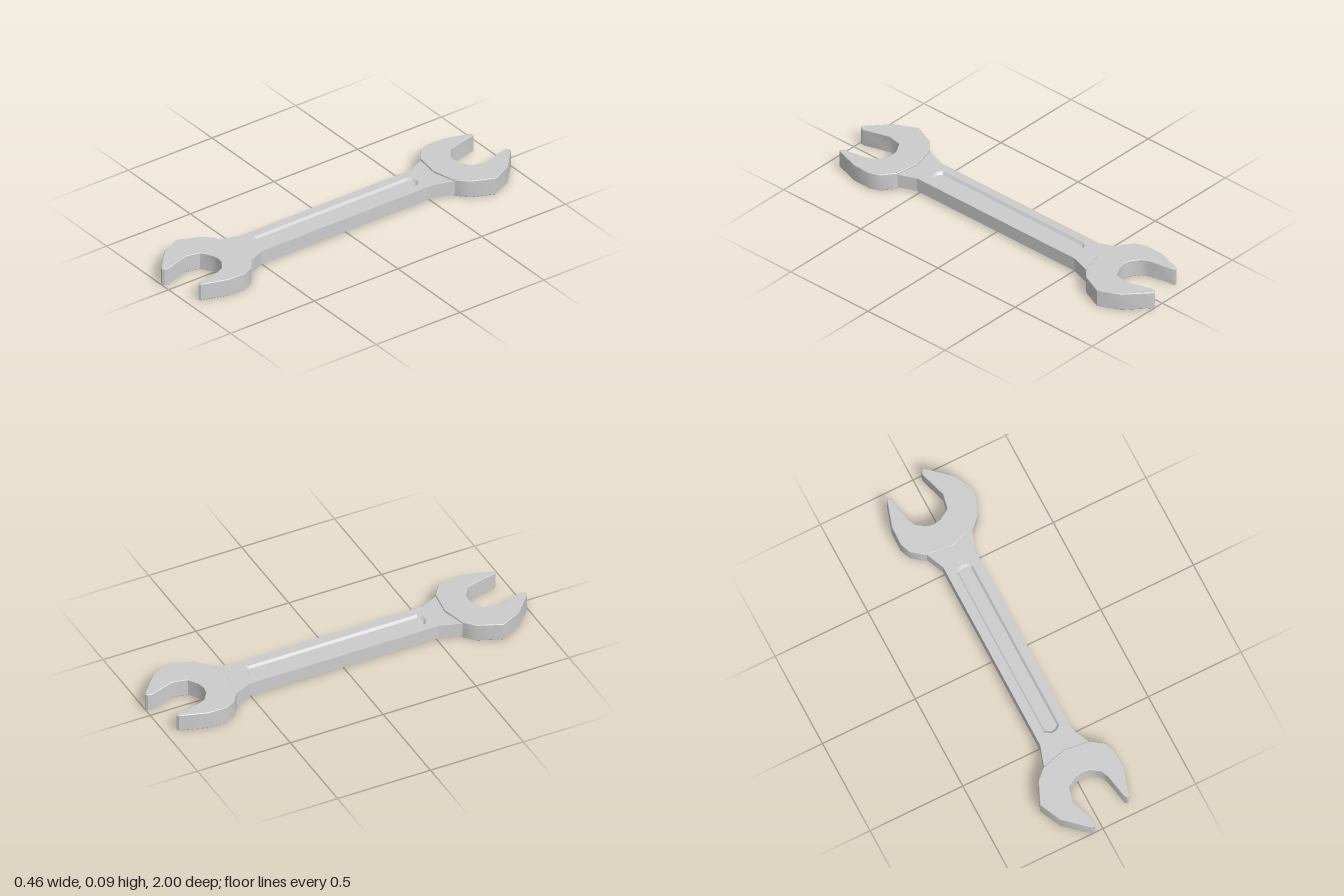
import * as THREE from 'three';
import { mergeGeometries, toCreasedNormals } from 'three/addons/utils/BufferGeometryUtils.js';

const HEAD_H = 0.092, LOW = 0.01, HIGH = 0.082, DEPTH = 0.012;

// Plan outlines are lists of [x, z].
const vectors = (pts) => pts.map(([x, z]) => new THREE.Vector2(x, z));
const halfTurn = (pts) => pts.map(([x, z]) => [-x, -z]);

// Horizontal face at height y, with optional hole
function flat(pts, hole, y, up) {
  const shape = new THREE.Shape(vectors(pts));
  if (hole) shape.holes.push(new THREE.Path(vectors(hole)));
  const g = new THREE.ShapeGeometry(shape).rotateX(Math.PI / 2).translate(0, y, 0);
  if (up) g.index.array.reverse();
  return finish(g);
}

// Band of quads joining two matching outlines
function band(a, ya, b, yb) {
  const pos = [];
  a.forEach((p, i) => {
    const j = (i + 1) % a.length;
    const p0 = [p[0], ya, p[1]], p1 = [a[j][0], ya, a[j][1]];
    const q0 = [b[i][0], yb, b[i][1]], q1 = [b[j][0], yb, b[j][1]];
    pos.push(...p0, ...p1, ...q1, ...p0, ...q1, ...q0);
  });
  const g = new THREE.BufferGeometry();
  g.setAttribute('position', new THREE.Float32BufferAttribute(pos, 3));
  return finish(g);
}

function finish(g) {
  const out = g.index ? g.toNonIndexed() : g;
  out.deleteAttribute('uv');
  out.computeVertexNormals();
  return out;
}

// Hexagonal-ended slot outline
function slot(w, l) {
  const c = w * 0.5;
  const half = [[w, -l + c], [w, l - c], [c, l - 0.004], [0, l], [-c, l - 0.004]];
  return [...half, ...halfTurn(half)];
}

function handleGeometry() {
  // Straight bar, flaring into the heads
  const half = [[0.088, -0.51], [0.088, 0.51], [0.13, 0.606], [0, 0.6], [-0.125, 0.626], [-0.088, 0.51]];
  const outline = [...half.slice(1, 5), ...halfTurn(half.slice(1, 5))];
  outline.splice(4, 0, [-0.088, 0.51]);
  outline.push([0.088, -0.51]);
  const lip = slot(0.042, 0.48), floor = slot(0.032, 0.468);
  return mergeGeometries([
    band(outline, HIGH, outline, LOW),
    flat(outline, lip, HIGH, true),
    flat(outline, lip, LOW, false),
    // recessed panels, above and below
    band(floor, HIGH - DEPTH, lip, HIGH),
    flat(floor, null, HIGH - DEPTH, true),
    band(lip, LOW, floor, LOW + DEPTH),
    flat(floor, null, LOW + DEPTH, false),
  ]);
}

function headGeometry() {
  const outline = [
    // neck edge and long jaw
    [0, 0.585], [-0.127, 0.62], [-0.18, 0.67], [-0.229, 0.785], [-0.177, 0.895], [-0.067, 0.994],
    [-0.053, 1], [-0.042, 0.992], [-0.038, 0.973],
    // mouth
    [-0.08, 0.84], [-0.064, 0.765], [-0.01, 0.733], [0.028, 0.726], [0.065, 0.733], [0.11, 0.765], [0.127, 0.803],
    // short jaw
    [0.152, 0.93], [0.162, 0.941], [0.174, 0.935], [0.18, 0.915],
    [0.216, 0.8], [0.218, 0.705], [0.196, 0.65], [0.132, 0.602],
  ];
  const bevel = 0.003;
  const g = new THREE.ExtrudeGeometry(new THREE.Shape(vectors(outline)), {
    depth: HEAD_H - 2 * bevel, bevelEnabled: true, bevelSegments: 1,
    bevelSize: bevel, bevelThickness: bevel, bevelOffset: -bevel,
  });
  g.rotateX(Math.PI / 2).translate(0, HEAD_H - bevel, 0);
  return toCreasedNormals(g, 0.6);
}

export function createModel() {
  const group = new THREE.Group();
  group.name = 'openEndedSpanner';
  const material = new THREE.MeshStandardMaterial({ color: 0xcccccc });

  const handle = new THREE.Mesh(handleGeometry(), material);
  handle.name = 'handle';
  group.add(handle);

  // Two identical heads, half a turn apart
  const geometry = headGeometry();
  ['frontHead', 'backHead'].forEach((name, i) => {
    const head = new THREE.Mesh(geometry, material);
    head.name = name;
    head.rotation.y = i * Math.PI;
    group.add(head);
  });
  return group;
}
